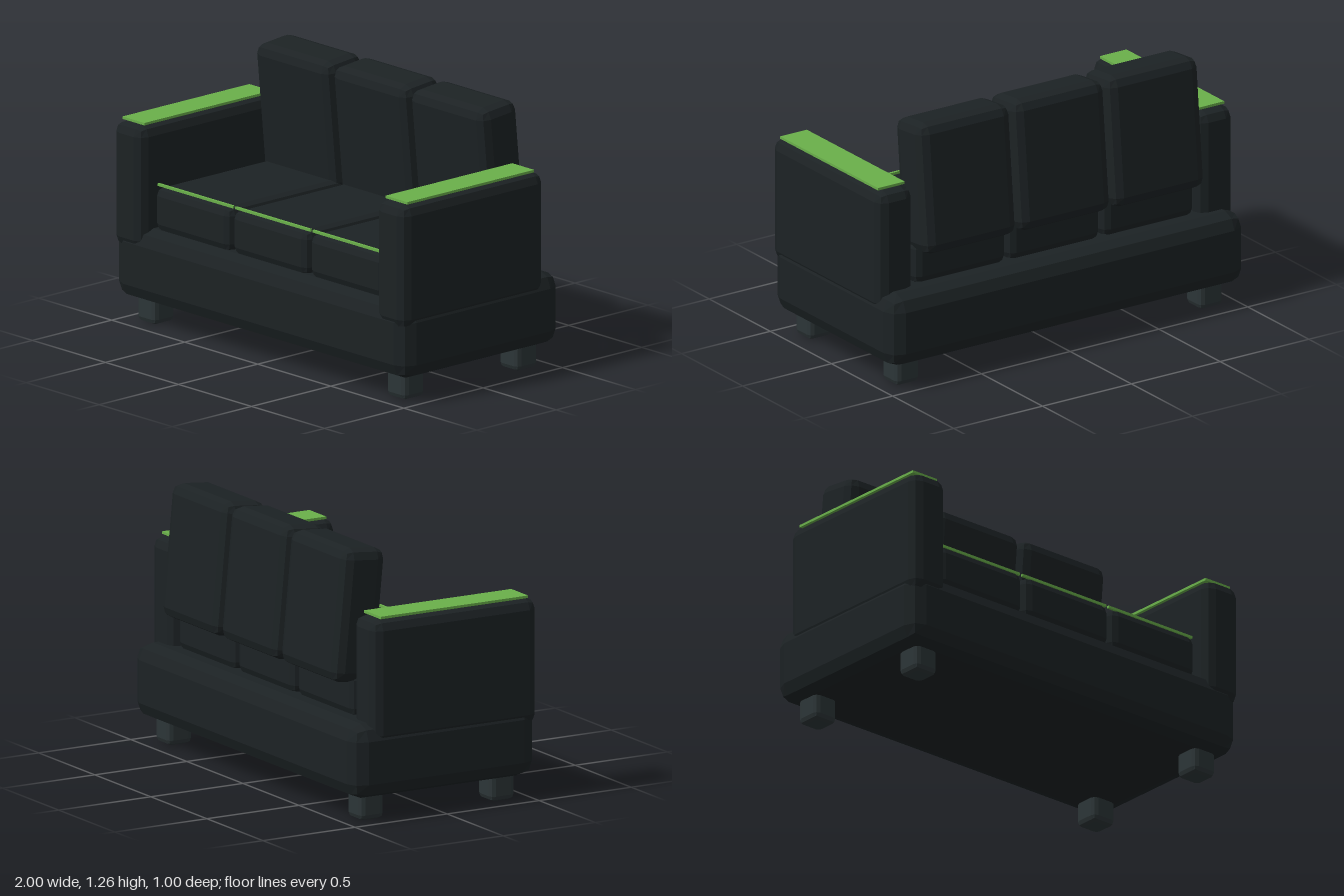
import * as THREE from 'three';

const leather = new THREE.MeshStandardMaterial({ color: 0x1c2224, flatShading: true });
const footMat = new THREE.MeshStandardMaterial({ color: 0x2c3537, flatShading: true });
const green = new THREE.MeshStandardMaterial({ color: 0x6ab04a, flatShading: true });

// Box whose edges are rounded by a two-step bevel of radius r
function softBox(w, h, d, r) {
  const geo = new THREE.BoxGeometry(2, 2, 2, 3, 3, 3);
  const pos = geo.attributes.position;
  const half = new THREE.Vector3(w / 2 - r, h / 2 - r, d / 2 - r);
  const p = new THREE.Vector3();
  const snap = (t) => (Math.abs(t) > 0.9 ? Math.sign(t) : 0);
  for (let i = 0; i < pos.count; i++) {
    p.fromBufferAttribute(pos, i);
    const core = new THREE.Vector3(Math.sign(p.x), Math.sign(p.y), Math.sign(p.z)).multiply(half);
    p.set(snap(p.x), snap(p.y), snap(p.z)).normalize().multiplyScalar(r).add(core);
    pos.setXYZ(i, p.x, p.y, p.z);
  }
  geo.computeVertexNormals();
  return geo;
}

export function createModel() {
  const sofa = new THREE.Group();
  sofa.name = 'sofa';
  const add = (name, geo, mat, x, y, z) => {
    const mesh = new THREE.Mesh(geo, mat);
    mesh.name = name;
    mesh.position.set(x, y, z);
    sofa.add(mesh);
    return mesh;
  };

  // Base
  add('base', softBox(2, 0.355, 0.995, 0.075), leather, 0, 0.2925, -0.0025);

  // Arms with their pads, and feet, mirrored left and right
  const arm = softBox(0.198, 0.6, 0.895, 0.05);
  const pad = new THREE.BoxGeometry(0.15, 0.012, 0.8);
  const foot = softBox(0.13, 0.15, 0.13, 0.025);
  for (const [side, s] of [['left', 1], ['right', -1]]) {
    add(side + 'Arm', arm, leather, s * 0.9, 0.665, 0.0525);
    add(side + 'ArmPad', pad, green, s * 0.9, 0.974, 0.055);
    add(side + 'FrontFoot', foot, footMat, s * 0.855, 0.075, 0.355);
    add(side + 'BackFoot', foot, footMat, s * 0.855, 0.075, -0.355);
  }

  // Three seats, each with a piping strip and a tilted back cushion
  const seat = softBox(0.517, 0.215, 0.81, 0.04);
  const strip = new THREE.BoxGeometry(0.515, 0.012, 0.012);
  const back = softBox(0.517, 0.637, 0.23, 0.05);
  for (const [side, x] of [['left', 0.53], ['middle', 0], ['right', -0.53]]) {
    add(side + 'SeatCushion', seat, leather, x, 0.5675, 0.025);
    add(side + 'SeatPiping', strip, green, x, 0.681, 0.4);
    add(side + 'BackCushion', back, leather, x, 0.94, -0.335).rotation.x = 0.095;
  }
  return sofa;
}
